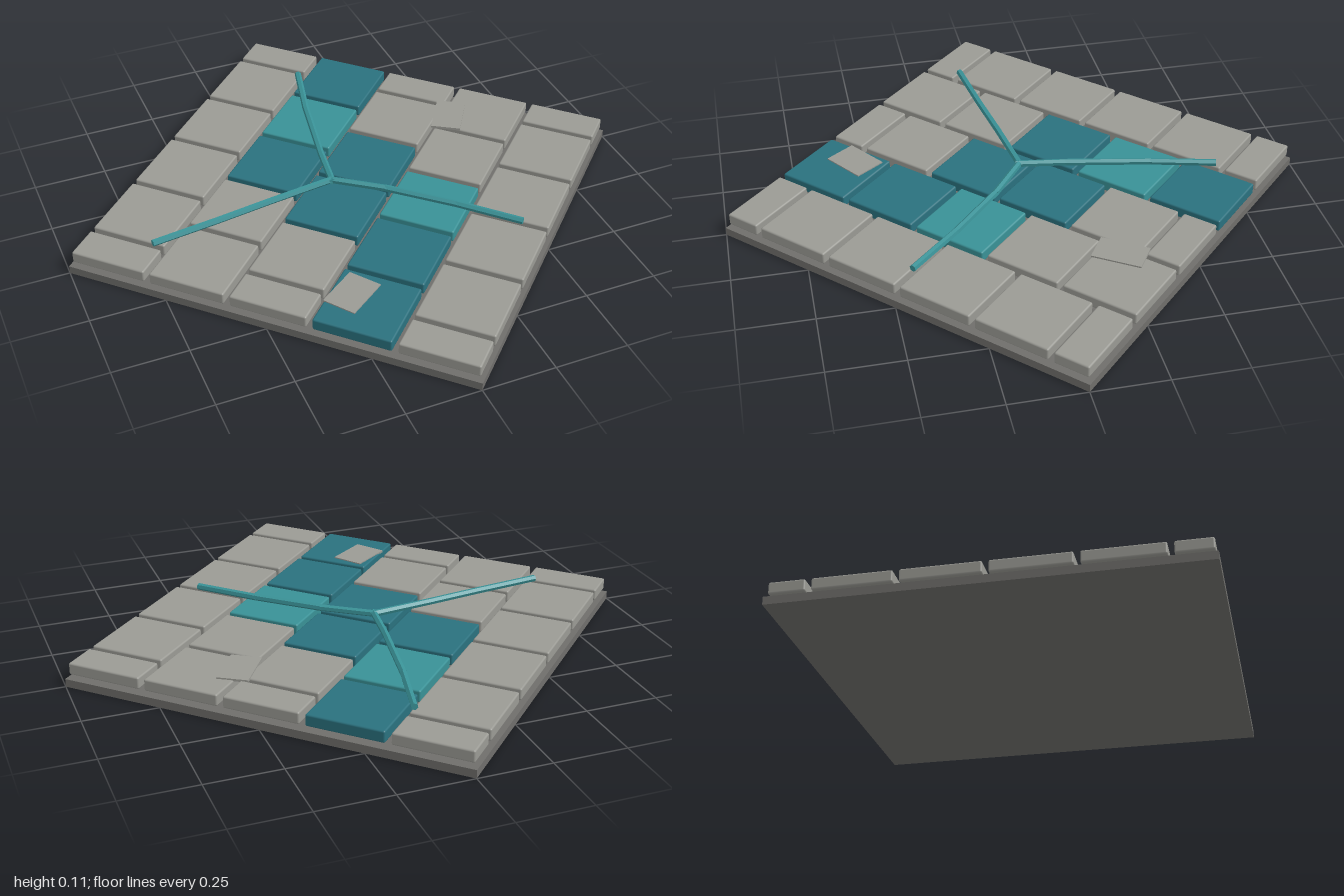
import * as THREE from 'three';
import { RoundedBoxGeometry } from 'three/addons/geometries/RoundedBoxGeometry.js';

export function createModel() {
  const flat = (name, color) => {
    const m = new THREE.MeshStandardMaterial({ color });
    m.name = name;
    return m;
  };
  const stone = flat('stone grey', 0x9a9a94);
  const mortar = flat('mortar grey', 0x6f6e6b);
  const teal = flat('deep teal', 0x2a717e);
  const light = flat('light teal', 0x399196);

  const model = new THREE.Group();
  model.name = 'pavedTile';
  const add = (parent, name, geometry, material, x, y, z, turn = 0) => {
    const mesh = new THREE.Mesh(geometry, material);
    mesh.name = name;
    mesh.position.set(x, y, z);
    mesh.rotation.y = turn;
    parent.add(mesh);
    return mesh;
  };

  // Square slab standing on its corner when seen from above
  const paving = new THREE.Group();
  paving.name = 'paving';
  paving.rotation.y = Math.PI / 4;
  model.add(paving);
  const side = Math.SQRT2, pitch = side / 5, gap = 0.02;
  add(paving, 'baseSlab', new THREE.BoxGeometry(side, 0.028, side), mortar, 0, 0.014, 0);

  // Running-bond bricks: s = stone, t = deep teal, l = light teal
  const colours = { s: stone, t: teal, l: light };
  const rows = ['ssssss', 'sstlt', 'ssttss', 'ttlss', 'ssssss'];
  rows.forEach((row, r) => {
    const staggered = row.length === 6;
    [...row].forEach((key, i) => {
      const start = Math.max(0, staggered ? i - 0.5 : i);
      const end = Math.min(5, staggered ? i + 0.5 : i + 1);
      const length = (end - start) * pitch - gap;
      const x = ((start + end) / 2 - 2.5) * pitch;
      add(paving, 'brick', new RoundedBoxGeometry(length, 0.041, pitch - gap, 2, 0.006),
        colours[key], x, 0.0625, (r - 2) * pitch);
    });
  });

  // Loose stone chips lying on the bricks
  add(model, 'stoneChip', new THREE.BoxGeometry(0.158, 0.008, 0.115), stone, -0.225, 0.083, 0.535, 0.62);
  add(model, 'stoneChip', new THREE.BoxGeometry(0.168, 0.008, 0.105), stone, 0.48, 0.084, -0.235, 1.0);

  // Three branching veins made of faceted rods
  const veins = [
    [[-0.07, -0.02], [-0.3, 0.01], [-0.5, 0.04], [-0.73, 0.07]],
    [[-0.07, -0.01], [-0.045, -0.18], [0.01, -0.47], [0.065, -0.69]],
    [[-0.07, -0.02], [0.085, 0.095], [0.27, 0.265], [0.43, 0.43]],
  ];
  const up = new THREE.Vector3(0, 1, 0);
  veins.forEach((path) => {
    const points = path.map(([x, z], i) => new THREE.Vector3(x, 0.097 - i * 0.001, z));
    for (let i = 0; i < points.length - 1; i++) {
      const along = points[i + 1].clone().sub(points[i]);
      const rod = new THREE.CylinderGeometry(0.012, 0.012, along.length() + 0.006, 6).toNonIndexed();
      rod.computeVertexNormals();
      const centre = points[i].clone().add(points[i + 1]).multiplyScalar(0.5);
      add(model, 'vein', rod, light, centre.x, centre.y, centre.z)
        .quaternion.setFromUnitVectors(up, along.normalize());
    }
  });

  return model;
}
